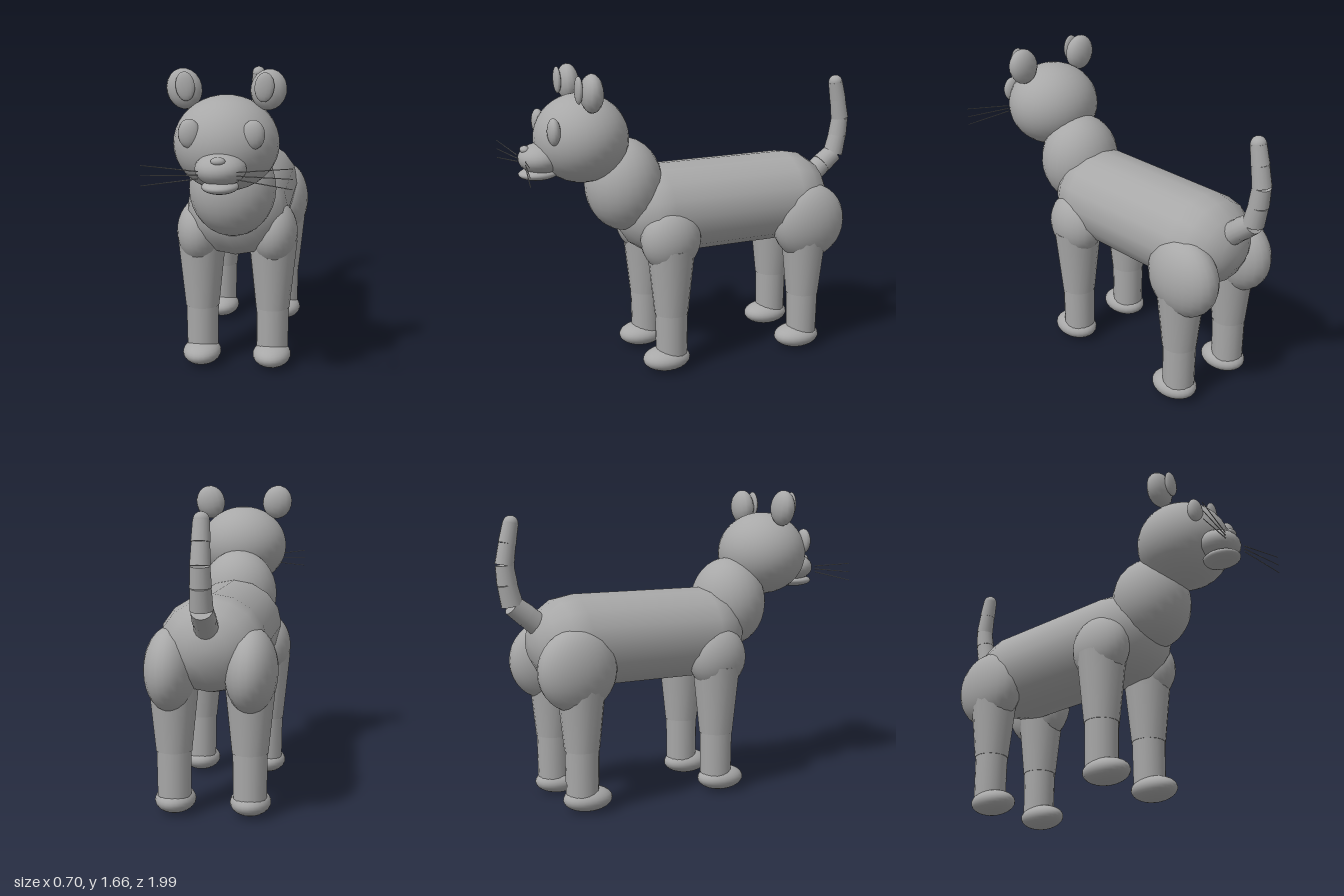
import * as THREE from 'three';

const fur = new THREE.MeshStandardMaterial({ color: 0xa8a8a8 });
fur.name = 'grey fur';

export function createModel() {
  const model = new THREE.Group();
  model.name = 'cat';

  const add = (name, geometry, x, y, z) => {
    const mesh = new THREE.Mesh(geometry, fur);
    mesh.name = name;
    mesh.position.set(x, y, z);
    model.add(mesh);
    return mesh;
  };

  // Sphere stretched to three radii
  const ellipsoid = (name, [x, y, z], [rx, ry, rz], w = 24, h = 16) => {
    const mesh = add(name, new THREE.SphereGeometry(1, w, h), x, y, z);
    mesh.scale.set(rx, ry, rz);
    return mesh;
  };

  // Tapered cylinder from point a to point b
  const limb = (name, a, b, ra, rb, sides = 16) => {
    const start = new THREE.Vector3(...a);
    const dir = new THREE.Vector3(...b).sub(start);
    const mid = start.clone().addScaledVector(dir, 0.5);
    const mesh = add(name, new THREE.CylinderGeometry(rb, ra, dir.length(), sides), mid.x, mid.y, mid.z);
    mesh.quaternion.setFromUnitVectors(new THREE.Vector3(0, 1, 0), dir.normalize());
    return mesh;
  };

  // Trunk
  const body = add('body', new THREE.CapsuleGeometry(0.25, 0.77, 4, 16), 0, 0.875, -0.185);
  body.rotation.x = Math.PI / 2;
  body.scale.x = 1.1;
  ellipsoid('neck', [0, 1.032, 0.4], [0.226, 0.253, 0.21]);

  // Head and face
  ellipsoid('head', [0, 1.304, 0.63], [0.26, 0.234, 0.25], 32, 20);
  ellipsoid('muzzle', [0, 1.215, 0.845], [0.123, 0.08, 0.123]);
  ellipsoid('jaw', [0, 1.135, 0.865], [0.088, 0.033, 0.105]);
  ellipsoid('nose', [0, 1.266, 0.932], [0.035, 0.02, 0.025], 16, 10);

  for (const s of [1, -1]) {
    const side = s > 0 ? 'left' : 'right';
    const ear = ellipsoid(side + 'Ear', [s * 0.205, 1.565, 0.63], [0.088, 0.1, 0.058], 14, 10);
    ear.rotation.z = -s * 0.2;
    const inner = ellipsoid(side + 'InnerEar', [s * 0.19, 1.583, 0.694], [0.047, 0.071, 0.019], 14, 10);
    inner.rotation.z = -s * 0.1;
    ellipsoid(side + 'Eye', [s * 0.152, 1.375, 0.817], [0.054, 0.07, 0.033], 16, 12);

    // Whiskers
    for (const k of [-1, 0, 1])
      limb(side + 'Whisker', [s * 0.09, 1.204 + k * 0.017, 0.952], [s * 0.35, 1.204 + k * 0.048, 0.997], 0.003, 0.002, 6);

    // Legs: joint, upper, lower and paw
    const legs = [
      { part: 'Front', z: 0.205, joint: [0.2, 0.752, 0.207], radii: [0.127, 0.176, 0.168] },
      { part: 'Hind', z: -0.613, joint: [0.202, 0.752, -0.635], radii: [0.135, 0.218, 0.217] },
    ];
    for (const { part, z, joint, radii } of legs) {
      const x = s * 0.194;
      ellipsoid(side + part + 'Haunch', [s * joint[0], joint[1], joint[2]], radii);
      limb(side + part + 'UpperLeg', [x, 0.33, z], [x, 0.707, z], 0.093, 0.132);
      limb(side + part + 'LowerLeg', [x, 0.07, z], [x, 0.335, z], 0.086, 0.09);
      ellipsoid(side + part + 'Paw', [x, 0.066, z + 0.03], [0.105, 0.066, 0.134]);
    }
  }

  // Tail: tapering ring segments along a bent path of [z, y]
  const path = [[-0.72, 0.935], [-0.83, 1.025], [-0.905, 1.083], [-0.93, 1.19], [-0.942, 1.29], [-0.925, 1.4], [-0.905, 1.5]];
  const radius = (i) => 0.064 - i * 0.0035;
  for (let i = 0; i < path.length - 1; i++) {
    const [a, b] = [path[i], path[i + 1]];
    limb('tailSegment', [0, a[1], a[0]], [0, b[1], b[0]], radius(i), radius(i + 1) - 0.002);
  }
  ellipsoid('tailTip', [0, 1.5, -0.905], [0.04, 0.04, 0.04], 16, 12);

  return model;
}
